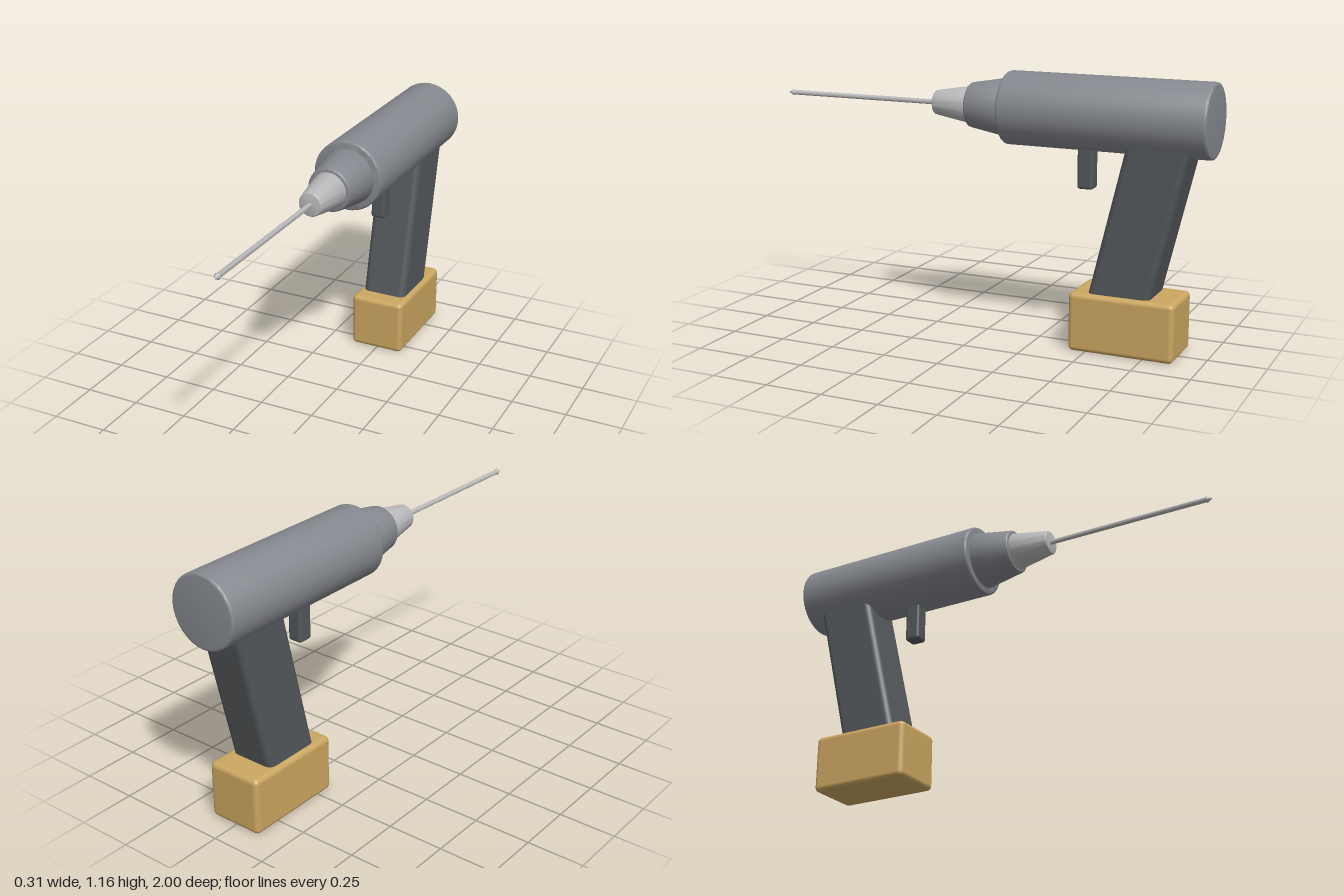
import * as THREE from 'three';
import { toCreasedNormals } from 'three/addons/utils/BufferGeometryUtils.js';
import { RoundedBoxGeometry } from 'three/addons/geometries/RoundedBoxGeometry.js';

const AXIS_Y = 1.0; // height of the barrel axis

const paint = (name, color) => {
  const m = new THREE.MeshStandardMaterial({ color });
  m.name = name;
  return m;
};

// Solid of revolution along z from [radius, z] pairs; inner corners are rounded by r
function turned(name, profile, r, material, segments = 48) {
  const p = profile.map(([x, z]) => new THREE.Vector2(x, z));
  const pts = [p[0]];
  for (let i = 1; i < p.length - 1; i++) {
    if (r === 0) { pts.push(p[i]); continue; }
    const toward = (q) => p[i].clone().add(q.clone().sub(p[i]).setLength(r));
    pts.push(...new THREE.QuadraticBezierCurve(toward(p[i - 1]), p[i], toward(p[i + 1])).getPoints(4));
  }
  pts.push(p[p.length - 1]);
  const geo = toCreasedNormals(new THREE.LatheGeometry(pts, segments).rotateX(Math.PI / 2), 0.6);
  const mesh = new THREE.Mesh(geo, material);
  mesh.name = name;
  mesh.position.y = AXIS_Y;
  return mesh;
}

function roundedBox(name, size, position, r, material, tilt = 0) {
  const mesh = new THREE.Mesh(new RoundedBoxGeometry(...size, 4, r), material);
  mesh.name = name;
  mesh.position.set(...position);
  mesh.rotation.x = tilt;
  return mesh;
}

export function createModel() {
  const housing = paint('housing grey', 0x85888e);
  const steel = paint('light steel', 0xb8b8ba);
  const rubber = paint('dark grip', 0x54585b);
  const yellow = paint('battery yellow', 0xcba660);

  const model = new THREE.Group();
  model.name = 'cordlessDrill';
  model.add(
    // Barrel, collar, chuck and bit, all on one axis
    turned('motorHousing', [[0, -1], [0.157, -1], [0.157, -0.1], [0, -0.1]], 0.012, housing),
    turned('collar', [[0, -0.11], [0.128, -0.11], [0.096, 0.075], [0, 0.075]], 0.008, housing),
    turned('chuck', [[0, 0.06], [0.084, 0.06], [0.052, 0.245], [0, 0.245]], 0.006, steel),
    turned('drillBit', [[0, 0.23], [0.011, 0.23], [0.011, 0.97], [0.014, 0.975], [0, 1]], 0, steel, 16),
    // Raked grip, buried in the housing and the battery
    roundedBox('grip', [0.21, 0.82, 0.263], [0, 0.55, -0.708], 0.03, rubber, -0.234),
    roundedBox('trigger', [0.066, 0.24, 0.07], [0, 0.8, -0.457], 0.012, rubber),
    roundedBox('battery', [0.254, 0.255, 0.46], [0, 0.1275, -0.655], 0.022, yellow),
  );
  return model;
}
